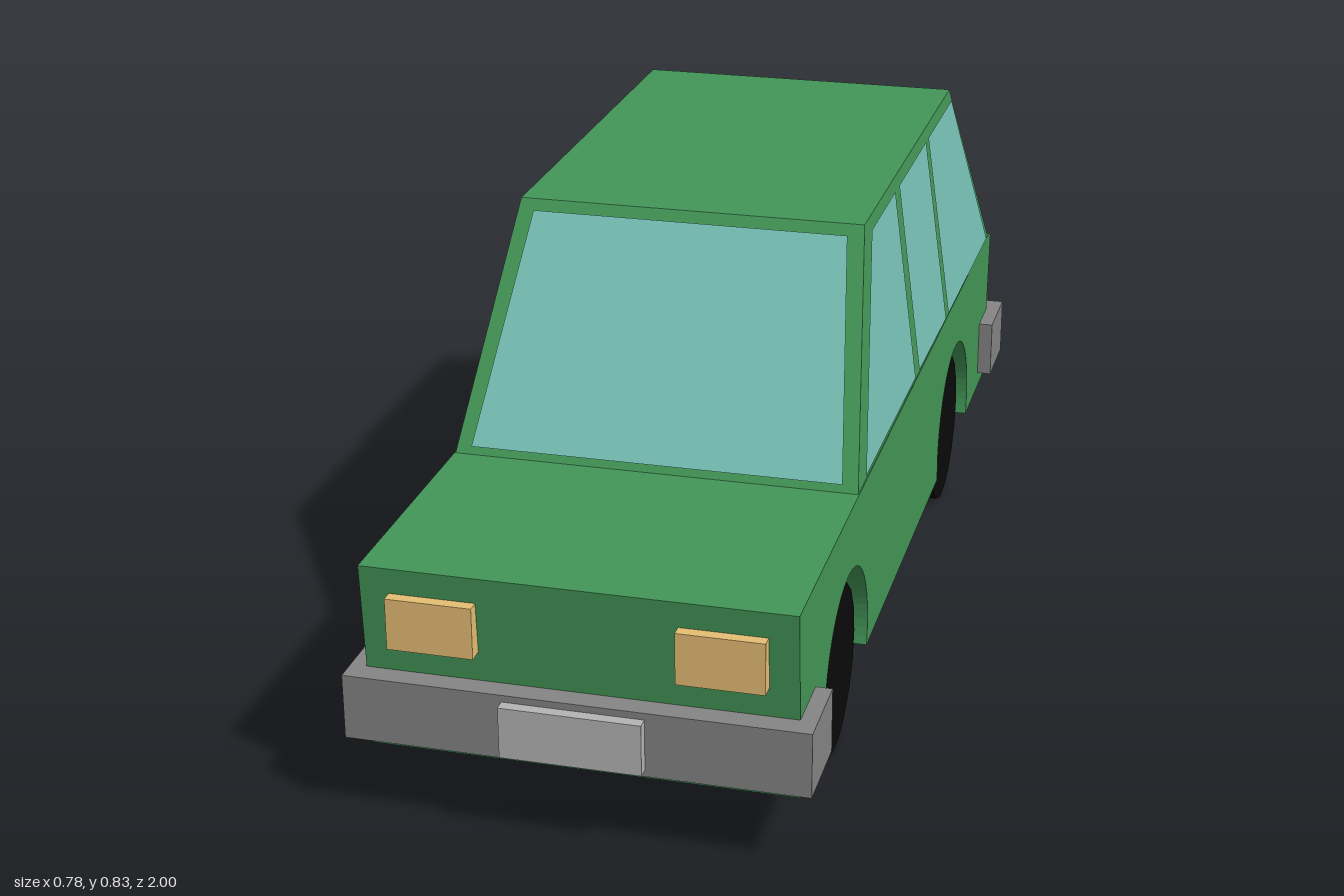
import * as THREE from 'three';

const mat = (color, extra = {}) => new THREE.MeshStandardMaterial({ color, ...extra });
const paint = mat(0x439657, { flatShading: true });
const glass = mat(0x78c2b6, { side: THREE.DoubleSide });
const rubber = mat(0x0a0a0a);
const bumperGrey = mat(0x858585);
const plateGrey = mat(0xb5b5b5);
const amber = mat(0xe6be74);
const red = mat(0xb5183a);

// Cabin dimensions: the four walls lean inwards from belt line to roof
const BELT = 0.44, ROOF = 0.835;
const rise = (y) => (y - BELT) / (ROOF - BELT);
const halfWidth = (y) => 0.36 - 0.05 * rise(y);
const frontZ = (y) => 0.5 - 0.26 * rise(y);
const rearZ = (y) => -0.905 + 0.275 * rise(y);
const AXLES = [0.575, -0.505];

export function createModel() {
  const car = new THREE.Group();
  car.name = 'car';

  const add = (name, geometry, material) => {
    const mesh = new THREE.Mesh(geometry, material);
    mesh.name = name;
    car.add(mesh);
    return mesh;
  };
  // Box given by its limits on each axis
  const box = (name, [x0, x1], [y0, y1], [z0, z1], material) =>
    add(name, new THREE.BoxGeometry(x1 - x0, y1 - y0, z1 - z0), material)
      .position.set((x0 + x1) / 2, (y0 + y1) / 2, (z0 + z1) / 2);
  // Flat four-cornered window pane
  const pane = (name, corners) => {
    const g = new THREE.BufferGeometry();
    g.setAttribute('position', new THREE.Float32BufferAttribute(corners.flat(), 3));
    g.setIndex([0, 1, 2, 0, 2, 3]);
    g.computeVertexNormals();
    add(name, g, glass);
  };

  // Lower body: side profile with wheel arches cut through the full width
  const profile = new THREE.Shape();
  profile.moveTo(-0.92, 0.11);
  profile.lineTo(-0.95, 0.425);
  profile.lineTo(-0.905, 0.435);
  profile.lineTo(0.5, 0.445);
  profile.lineTo(0.955, 0.445);
  profile.lineTo(0.93, 0.11);
  const dip = Math.asin(0.04 / 0.18);
  for (const z of AXLES) profile.absarc(z, 0.15, 0.18, -dip, Math.PI + dip, false);
  profile.closePath();
  const body = new THREE.ExtrudeGeometry(profile, { depth: 0.72, bevelEnabled: false, curveSegments: 20 });
  body.translate(0, 0, -0.36).rotateY(-Math.PI / 2);
  add('body', body, paint);

  // Cabin: box tapered towards the roof
  const cabin = new THREE.BoxGeometry(2, 1, 1);
  const p = cabin.attributes.position;
  for (let i = 0; i < p.count; i++) {
    const y = p.getY(i) > 0 ? ROOF : 0.43;
    p.setXYZ(i, Math.sign(p.getX(i)) * halfWidth(Math.max(y, BELT)), y, p.getZ(i) > 0 ? frontZ(y) : rearZ(y));
  }
  cabin.computeVertexNormals();
  add('cabin', cabin, paint);

  // Windscreen and rear window
  const lo = 0.458, hi = 0.818, lift = 0.004;
  pane('windscreen', [[-0.33, lo, frontZ(lo) + lift], [0.33, lo, frontZ(lo) + lift],
    [0.283, hi, frontZ(hi) + lift], [-0.283, hi, frontZ(hi) + lift]]);
  pane('rearWindow', [[0.328, 0.452, rearZ(0.452) - lift], [-0.328, 0.452, rearZ(0.452) - lift],
    [-0.283, hi, rearZ(hi) - lift], [0.283, hi, rearZ(hi) - lift]]);

  // Side windows, three per side: [bottom front, bottom rear, top rear, top front] as z, y
  const sideWindows = {
    frontSideWindow: [[0.455, 0.462], [-0.012, 0.457], [-0.003, 0.818], [0.215, 0.818]],
    middleSideWindow: [[-0.05, 0.457], [-0.344, 0.452], [-0.32, 0.818], [-0.042, 0.818]],
    rearSideWindow: [[-0.372, 0.452], [-0.855, 0.447], [-0.612, 0.818], [-0.345, 0.818]],
  };
  for (const [name, corners] of Object.entries(sideWindows)) {
    for (const s of [1, -1]) {
      const points = corners.map(([z, y]) => [s * (halfWidth(y) + 0.006), y, z]);
      pane(name + (s > 0 ? 'Left' : 'Right'), s > 0 ? points : points.reverse());
    }
  }

  // Wheels: one full-width roller per axle
  AXLES.forEach((z, i) => {
    const wheel = new THREE.CylinderGeometry(0.15, 0.15, 0.685, 18).rotateZ(Math.PI / 2);
    add(i ? 'rearWheels' : 'frontWheels', wheel, rubber).position.set(0, 0.15, z);
  });

  // Bumpers and plates
  box('frontBumper', [-0.388, 0.388], [0.143, 0.257], [0.83, 0.98], bumperGrey);
  box('rearBumper', [-0.388, 0.388], [0.143, 0.257], [-0.985, -0.835], bumperGrey);
  box('frontPlate', [-0.118, 0.118], [0.155, 0.245], [0.96, 1], plateGrey);
  box('rearPlate', [-0.118, 0.118], [0.155, 0.245], [-1, -0.96], plateGrey);

  // Lights
  for (const s of [1, -1]) {
    const side = s > 0 ? 'Left' : 'Right';
    const span = s > 0 ? [0.166, 0.311] : [-0.311, -0.166];
    box('headlight' + side, span, [0.31, 0.4], [0.93, 0.972], amber);
    box('tailLight' + side, span, [0.318, 0.4], [-0.974, -0.92], red);
  }
  return car;
}
